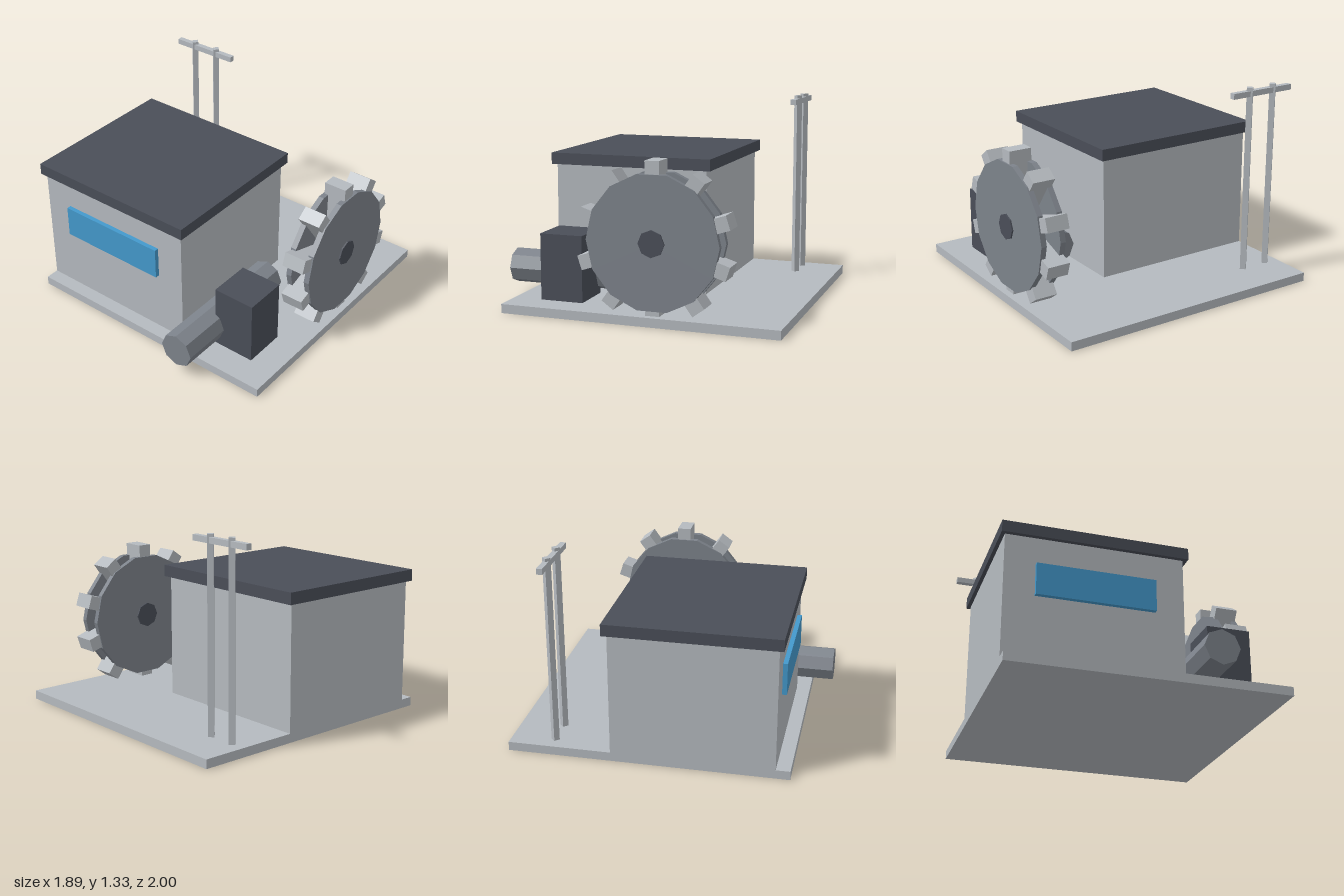
import * as THREE from 'three';

const mat = (name, color) => {
  const m = new THREE.MeshStandardMaterial({ color, flatShading: true });
  m.name = name;
  return m;
};

export function createModel() {
  const light = mat('light grey', 0xb5babf);
  const mid = mat('mid grey', 0x7d838b);
  const dark = mat('dark slate', 0x4a4e58);
  const blue = mat('window blue', 0x4499cc);

  const model = new THREE.Group();
  model.name = 'waterWheelStation';

  const add = (name, geometry, material, parent = model) => {
    const mesh = new THREE.Mesh(geometry, material);
    mesh.name = name;
    parent.add(mesh);
    return mesh;
  };
  // Box given by its limits on each axis
  const box = (name, material, [x0, x1], [y0, y1], [z0, z1], parent = model) => {
    const mesh = add(name, new THREE.BoxGeometry(x1 - x0, y1 - y0, z1 - z0), material, parent);
    mesh.position.set((x0 + x1) / 2, (y0 + y1) / 2, (z0 + z1) / 2);
    return mesh;
  };

  // Base slab and building
  box('base', light, [-0.905, 0.945], [0, 0.06], [-1, 0.85]);
  box('house', light, [-0.905, 0.265], [0.06, 0.89], [-0.315, 0.757]);
  box('roof', dark, [-0.93, 0.295], [0.89, 0.968], [-0.347, 0.787]);
  box('window', blue, [-0.705, 0.072], [0.49, 0.705], [0.74, 0.787]);

  // Outlet pipe and pump block
  add('pipe', new THREE.CylinderGeometry(0.118, 0.118, 0.98, 8).rotateX(Math.PI / 2), mid)
    .position.set(0.412, 0.198, 0.51);
  box('pumpBlock', dark, [0.46, 0.752], [0.06, 0.5], [0.366, 0.658]);

  // Wheel: two discs, an axle and ten paddles, turning about x
  const wheel = new THREE.Group();
  wheel.name = 'wheel';
  wheel.position.set(0.823, 0.518, -0.17);
  model.add(wheel);
  const disc = new THREE.CylinderGeometry(0.437, 0.437, 0.038, 14).rotateZ(Math.PI / 2);
  for (const side of [-1, 1]) {
    add(side > 0 ? 'leftDisc' : 'rightDisc', disc, mid, wheel).position.x = side * 0.068;
  }
  add('axle', new THREE.CylinderGeometry(0.087, 0.087, 0.194, 8).rotateZ(Math.PI / 2), dark, wheel);
  const paddle = new THREE.BoxGeometry(0.155, 0.46, 0.094).translate(0, 0.28, 0);
  for (let i = 0; i < 10; i++) {
    add('paddle', paddle, light, wheel).rotation.x = (i * Math.PI) / 5;
  }

  // Twin poles with a crossbar behind the building
  for (const x of [-0.805, -0.612]) {
    add('pole', new THREE.CylinderGeometry(0.028, 0.028, 1.27, 4), light).position.set(x, 0.695, -0.71);
  }
  box('crossbar', light, [-0.95, -0.465], [1.272, 1.31], [-0.729, -0.691]);

  return model;
}
